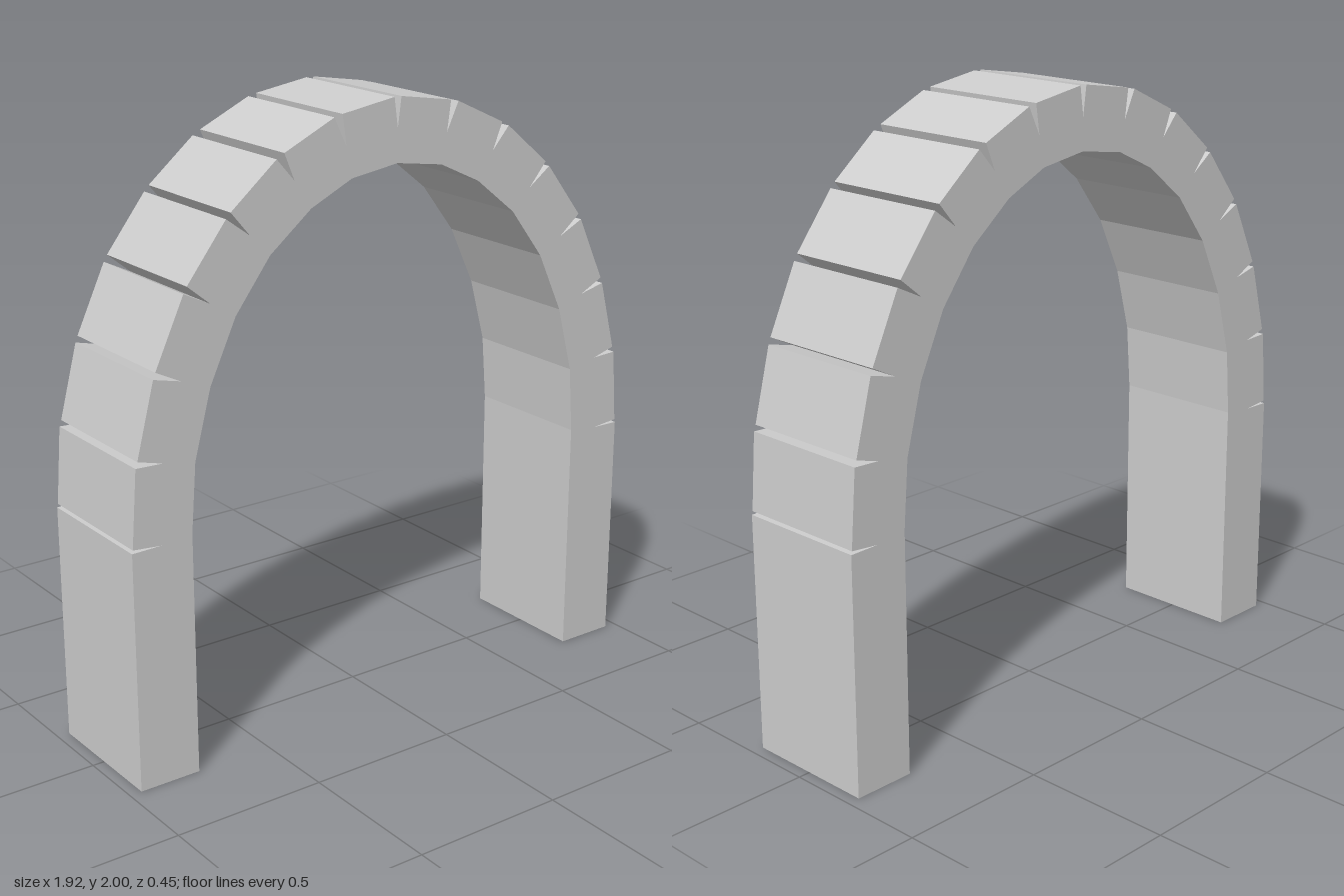
import * as THREE from 'three';

const HALF_DEPTH = 0.225;

// Joints of the +x half, crown to springing:
// inner edge, notch tip, upper lip and lower lip, each as x, y
const joints = [
  [0.170, 1.775, 0.190, 1.873, 0.204, 1.970, 0.233, 1.963],
  [0.318, 1.705, 0.376, 1.794, 0.411, 1.880, 0.438, 1.865],
  [0.465, 1.587, 0.534, 1.656, 0.598, 1.732, 0.614, 1.715],
  [0.588, 1.425, 0.672, 1.476, 0.750, 1.540, 0.762, 1.520],
  [0.680, 1.228, 0.778, 1.265, 0.862, 1.307, 0.870, 1.287],
  [0.738, 1.010, 0.847, 1.030, 0.931, 1.053, 0.938, 1.034],
  [0.755, 0.790, 0.861, 0.778, 0.957, 0.787, 0.960, 0.776],
];

// Outline of the +x half: down the notched outside, back up the inside
function halfOutline() {
  const outer = [[0.013, 2.0]];
  const inner = [];
  for (const [ix, iy, tx, ty, ux, uy, lx, ly] of joints) {
    outer.push([ux, uy], [tx, ty], [lx, ly]);
    inner.unshift([ix, iy]);
  }
  return [...outer, [0.96, 0], [0.755, 0], ...inner];
}

export function createModel() {
  const group = new THREE.Group();
  group.name = 'notchedArch';
  const stone = new THREE.MeshStandardMaterial({ color: 0xcccccc });
  stone.name = 'plain grey';

  // Join both halves through the crown notch and the top of the opening
  const right = halfOutline();
  const left = right.map(([x, y]) => [-x, y]).reverse();
  const outline = [[0, 1.905], ...right, [0, 1.8], ...left];
  const shape = new THREE.Shape(outline.map(([x, y]) => new THREE.Vector2(x, y)));

  const geometry = new THREE.ExtrudeGeometry(shape, {
    depth: HALF_DEPTH * 2,
    bevelEnabled: false,
  });
  geometry.translate(0, 0, -HALF_DEPTH);

  const arch = new THREE.Mesh(geometry, stone);
  arch.name = 'arch';
  group.add(arch);
  return group;
}
